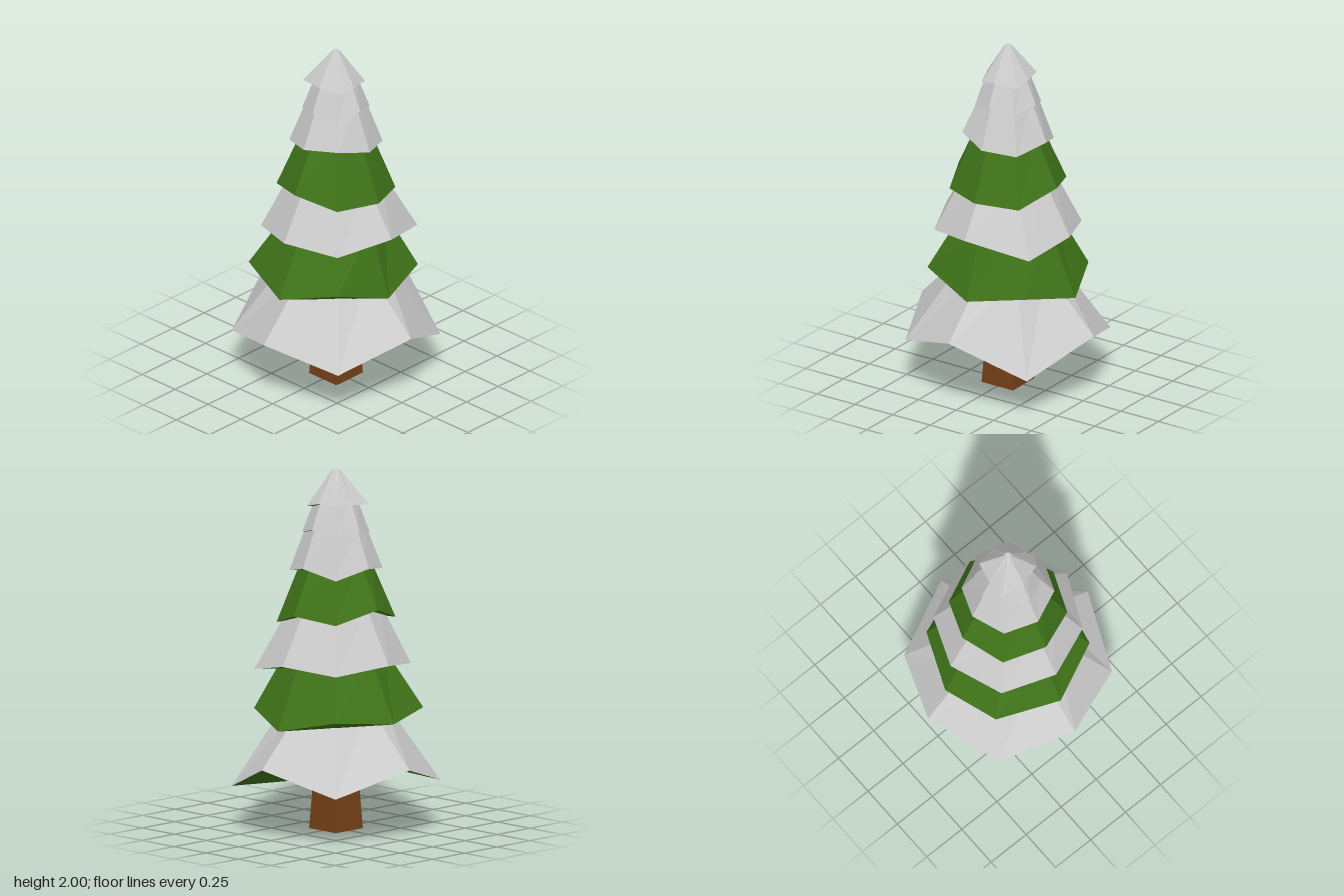
import * as THREE from 'three';

const SIDES = 8;
const SNOW = 0xcccccc, GREEN = 0x3f7319, BROWN = 0x744017;

// Tiers from the ground up. Rim heights run from the front (+z) round through +x.
// "shift" replaces the [x, z] of single rim corners that are pushed out of the ring.
const TIERS = [
  { color: SNOW, r: 0.57, top: [0.25, 0.73], rim: [0.42, 0.235, 0.40, 0.27, 0.40, 0.27, 0.39, 0.285] },
  { color: GREEN, r: 0.448, top: [0.265, 1.0], rim: [0.61, 0.67, 0.60, 0.67, 0.64, 0.68, 0.625, 0.71],
    shift: { 0: [0, 0.40], 5: [-0.32, -0.355] } },
  { color: SNOW, r: 0.41, top: [0.24, 1.26], rim: [0.98, 0.895, 0.955, 0.92, 0.96, 0.92, 0.96, 0.93],
    shift: { 0: [0, 0.42], 1: [0.34, 0.29] } },
  { color: GREEN, r: 0.325, top: [0.18, 1.52], rim: [1.17, 1.15, 1.225, 1.19, 1.26, 1.18, 1.225, 1.17] },
  { color: SNOW, r: 0.255, top: [0.155, 1.71], rim: [1.46, 1.438, 1.48, 1.425, 1.48, 1.45, 1.48, 1.50] },
  { color: SNOW, r: 0.185, top: [0.11, 1.85], rim: [1.69, 1.653, 1.687, 1.65, 1.68, 1.65, 1.68, 1.65] },
  { color: SNOW, r: 0.135, top: [0.02, 2.0], rim: [1.82, 1.80, 1.825, 1.83, 1.82, 1.81, 1.82, 1.80],
    shift: { 1: [0.125, 0.10], 3: [0.115, -0.11], 5: [-0.115, -0.14], 7: [-0.09, 0.125] } },
];

// How the uneven underside folds between rim corners
const UNDERSIDE = [[0, 1, 4], [1, 2, 4], [2, 3, 4], [0, 4, 5], [0, 5, 6], [0, 6, 7]];

function facetMesh(name, triangles, color) {
  const geometry = new THREE.BufferGeometry().setFromPoints(triangles.flat());
  geometry.computeVertexNormals();
  const mesh = new THREE.Mesh(geometry, new THREE.MeshStandardMaterial({ color, flatShading: true }));
  mesh.name = name;
  return mesh;
}

function ringPoint(i, radius, y) {
  const a = (i / SIDES) * Math.PI * 2;
  return new THREE.Vector3(radius * Math.sin(a), y, radius * Math.cos(a));
}

function makeTier({ color, r, top, rim, shift = {} }, index) {
  const lower = rim.map((y, i) => shift[i]
    ? new THREE.Vector3(shift[i][0], y, shift[i][1])
    : ringPoint(i, r, y));
  const upper = rim.map((_, i) => ringPoint(i, ...top));
  const centre = new THREE.Vector3(0, top[1], 0);

  // Sloping sides and the small top cap
  const sides = [];
  for (let i = 0; i < SIDES; i++) {
    const j = (i + 1) % SIDES;
    sides.push([lower[i], lower[j], upper[j]], [lower[i], upper[j], upper[i]], [upper[i], upper[j], centre]);
  }
  // Underside faces down, always green
  const under = UNDERSIDE.map(([a, b, c]) => [lower[a], lower[c], lower[b]]);

  const tier = new THREE.Group();
  tier.name = `branchTier${index + 1}`;
  tier.add(facetMesh(color === SNOW ? 'snowCover' : 'foliage', sides, color));
  tier.add(facetMesh('foliageUnderside', under, GREEN));
  return tier;
}

export function createModel() {
  const tree = new THREE.Group();
  tree.name = 'snowyTree';

  // Square tapered trunk
  const trunkGeometry = new THREE.CylinderGeometry(0.075 * Math.SQRT2, 0.104 * Math.SQRT2, 0.5, 4);
  trunkGeometry.rotateY(Math.PI / 4);
  const trunk = new THREE.Mesh(trunkGeometry, new THREE.MeshStandardMaterial({ color: BROWN, flatShading: true }));
  trunk.position.y = 0.25;
  trunk.name = 'trunk';
  tree.add(trunk);

  // Stacked branch tiers
  TIERS.forEach((tier, i) => tree.add(makeTier(tier, i)));
  return tree;
}
